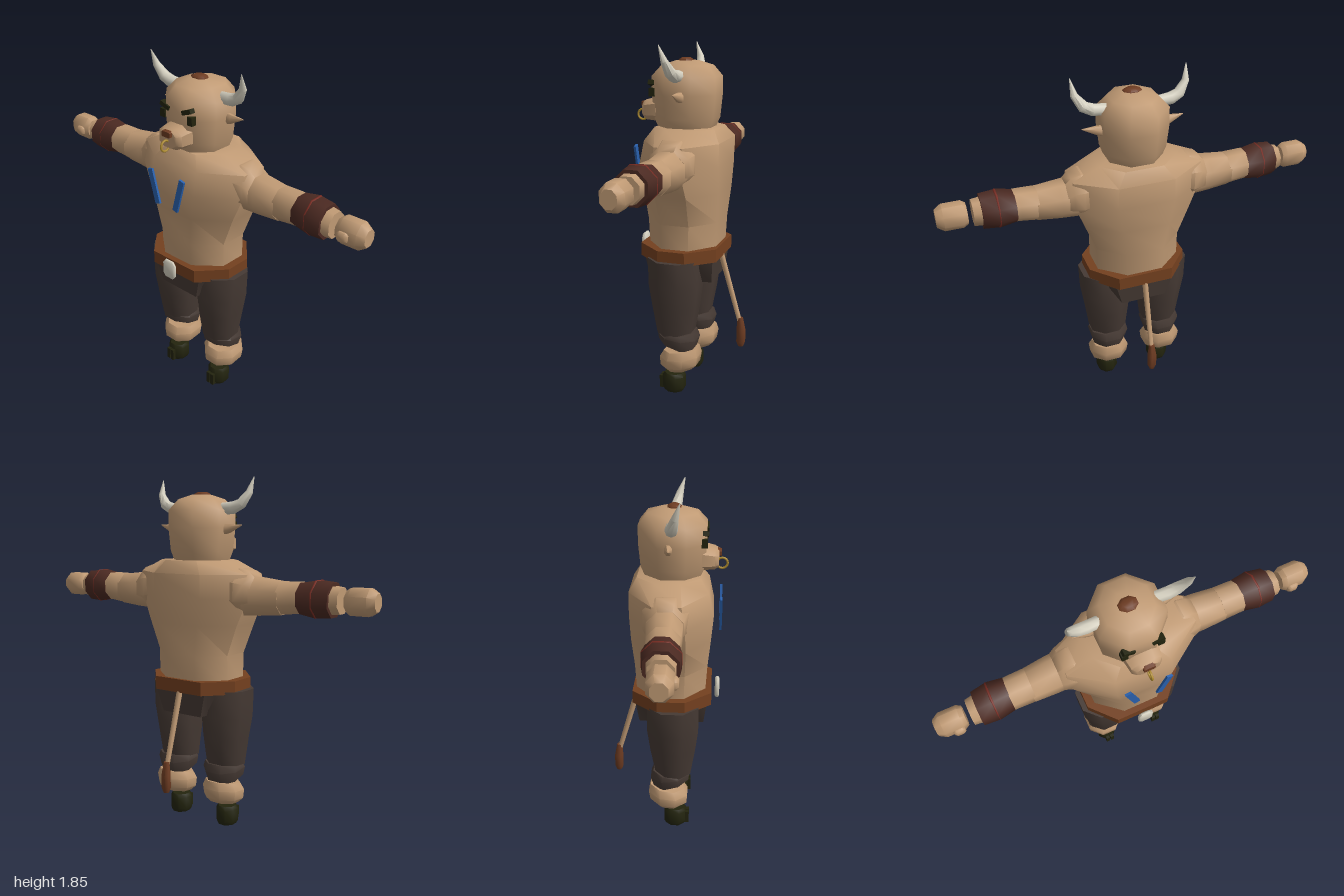
import * as THREE from 'three';
import { toCreasedNormals } from 'three/addons/utils/BufferGeometryUtils.js';

const mat = (name, color) => new THREE.MeshStandardMaterial({ name, color });

// Octagon outline with half sizes a, b; ka, kb give the flat part of each side
const octagon = (a, b, ka = 0.414, kb = ka) => [
  [a, -b * kb], [a, b * kb], [a * ka, b], [-a * ka, b],
  [-a, b * kb], [-a, -b * kb], [-a * ka, -b], [a * ka, -b],
];
const ringY = (y, cx, cz, hx, hz, ka, kb, tilt = 0) =>
  octagon(hx, hz, ka, kb).map(([a, b]) => new THREE.Vector3(cx + a, y + b * tilt, cz + b));
const ringX = (x, cy, cz, hy, hz, k) =>
  octagon(hy, hz, k).map(([a, b]) => new THREE.Vector3(x, cy + a, cz + b));
const ringZ = (z, cx, cy, hx, hy, k) =>
  octagon(hx, hy, k).map(([a, b]) => new THREE.Vector3(cx + a, cy + b, z));

// Closed skin through a list of rings, wound outwards
function loft(rings, crease = 50) {
  const tris = [], n = rings[0].length;
  for (let r = 0; r < rings.length - 1; r++) {
    for (let i = 0; i < n; i++) {
      const j = (i + 1) % n, A = rings[r], B = rings[r + 1];
      tris.push([A[i], B[i], B[j]], [A[i], B[j], A[j]]);
    }
  }
  const first = rings[0], last = rings[rings.length - 1];
  for (let i = 1; i < n - 1; i++) {
    tris.push([first[0], first[i], first[i + 1]], [last[0], last[i + 1], last[i]]);
  }
  const c = first[0].clone().add(last[n / 2]).multiplyScalar(0.5);
  let volume = 0;
  for (const t of tris) {
    const [p, q, s] = t.map((v) => v.clone().sub(c));
    volume += p.dot(q.cross(s));
  }
  if (volume < 0) tris.forEach((t) => t.reverse());
  const geo = new THREE.BufferGeometry().setFromPoints(tris.flat());
  return toCreasedNormals(geo, THREE.MathUtils.degToRad(crease));
}

// Tapered round skin along a path of [x, y, z, radius]
function taper(path, sides = 8) {
  const pts = path.map((p) => new THREE.Vector3(p[0], p[1], p[2]));
  return loft(pts.map((p, i) => {
    const dir = pts[Math.min(i + 1, pts.length - 1)].clone().sub(pts[Math.max(i - 1, 0)]).normalize();
    const u = new THREE.Vector3(0, 0, 1).cross(dir).normalize(), v = dir.clone().cross(u);
    return Array.from({ length: sides }, (_, k) => {
      const t = (k / sides) * Math.PI * 2;
      return p.clone().addScaledVector(u, Math.cos(t) * path[i][3]).addScaledVector(v, Math.sin(t) * path[i][3]);
    });
  }));
}

export function createModel() {
  const root = new THREE.Group();
  root.name = 'bullMan';
  const skin = mat('skin', 0xc09a74), pants = mat('pants', 0x463a34), leather = mat('leather', 0x74401f);
  const cuff = mat('cuffLeather', 0x4c2a22), band = mat('bandRed', 0x7a2c22), bone = mat('bone', 0xd2cdbd);
  const blue = mat('blue', 0x2a62b0), gold = mat('gold', 0xb08d30), dark = mat('hoofDark', 0x23240e);
  const brown = mat('brownHair', 0x6e3c22);

  const add = (name, geo, material, pos = [0, 0, 0], rot = [0, 0, 0]) => {
    const m = new THREE.Mesh(geo, material);
    m.name = name;
    m.position.set(...pos);
    m.rotation.set(...rot);
    root.add(m);
    return m;
  };

  // Torso, belt and pelvis
  add('torso', loft([
    ringY(0.78, 0, 0.02, 0.225, 0.18, 0.43, 0.4),
    ringY(0.95, 0, 0.02, 0.225, 0.19, 0.43, 0.4),
    ringY(1.11, 0, 0.02, 0.285, 0.205, 0.43, 0.4),
    ringY(1.25, 0, 0.023, 0.345, 0.213, 0.43, 0.36),
    ringY(1.37, 0, 0.01, 0.34, 0.2, 0.43, 0.36),
    ringY(1.435, 0, 0.008, 0.2, 0.16, 0.5, 0.4),
  ]), skin);
  add('belt', loft([
    ringY(0.752, 0, 0.027, 0.268, 0.208, 0.55, 0.35),
    ringY(0.822, 0, 0.027, 0.268, 0.208, 0.55, 0.35),
  ], 30), leather);
  add('buckle', loft([
    ringZ(0.253, 0, 0.785, 0.034, 0.044, 0.6),
    ringZ(0.26, 0, 0.785, 0.042, 0.052, 0.6),
    ringZ(0.27, 0, 0.785, 0.042, 0.052, 0.6),
    ringZ(0.277, 0, 0.785, 0.034, 0.044, 0.6),
  ]), bone);
  add('pelvis', loft([
    ringY(0.63, 0, 0.023, 0.13, 0.172, 0.95, 0.6),
    ringY(0.76, 0, 0.023, 0.21, 0.188, 0.76, 0.5),
  ]), pants);

  // Head, muzzle, nose ring and hair tuft
  add('head', loft([
    ringY(1.42, 0, 0.025, 0.135, 0.135),
    ringY(1.48, 0, 0.025, 0.155, 0.16),
    ringY(1.6, 0, 0.024, 0.167, 0.17),
    ringY(1.69, 0, 0.024, 0.165, 0.17),
    ringY(1.745, 0, 0.022, 0.115, 0.125),
    ringY(1.768, 0, 0.022, 0.05, 0.055),
  ], 60), skin);
  add('muzzle', loft([
    ringZ(0.17, 0, 1.52, 0.085, 0.062, 0.5),
    ringZ(0.235, 0, 1.515, 0.076, 0.052, 0.5),
    ringZ(0.255, 0, 1.515, 0.055, 0.042, 0.5),
  ]), skin);
  add('nose', loft([
    ringZ(0.235, 0, 1.545, 0.033, 0.018, 0.7),
    ringZ(0.268, 0, 1.542, 0.028, 0.014, 0.7),
  ]), brown);
  add('noseRing', new THREE.TorusGeometry(0.027, 0.006, 6, 16), gold, [0, 1.485, 0.272], [0, Math.PI / 2, 0]);
  add('hairTuft', loft([
    ringY(1.75, 0, 0.03, 0.048, 0.038),
    ringY(1.772, 0, 0.03, 0.044, 0.034),
    ringY(1.782, 0, 0.03, 0.026, 0.02),
  ]), brown);

  // Tail
  add('tail', taper([[0, 0.76, -0.165, 0.016], [0, 0.36, -0.28, 0.013]]), skin);
  add('tailTuft', loft([
    ringY(0.235, 0, -0.283, 0.014, 0.014),
    ringY(0.26, 0, -0.283, 0.023, 0.023),
    ringY(0.33, 0, -0.283, 0.023, 0.023),
    ringY(0.4, 0, -0.278, 0.014, 0.014),
  ]), brown);

  for (const s of [1, -1]) {
    const side = s > 0 ? 'left' : 'right';
    const put = (part, ...rest) => add(side + part, ...rest);

    // Horns, ears, eyes and brows
    put('Horn', taper([
      [s * 0.13, 1.695, 0.02, 0.03], [s * 0.2, 1.7, 0.025, 0.032], [s * 0.245, 1.72, 0.03, 0.029],
      [s * 0.283, 1.775, 0.045, 0.019], [s * 0.294, 1.852, 0.07, 0.002],
    ]), bone);
    put('Ear', loft([
      ringX(s * 0.15, 1.592, 0.005, 0.028, 0.02),
      ringX(s * 0.19, 1.597, 0.01, 0.022, 0.018),
      ringX(s * 0.262, 1.613, 0.012, 0.002, 0.002),
    ]), skin);
    put('Eye', new THREE.BoxGeometry(0.032, 0.042, 0.03), dark, [s * 0.09, 1.61, 0.183]);
    put('Brow', new THREE.BoxGeometry(0.06, 0.022, 0.03), dark, [s * 0.072, 1.652, 0.188], [0, 0, s * 0.35]);

    // Chest stripes floating ahead of the torso
    put('ChestStripe', new THREE.BoxGeometry(0.032, 0.185, 0.012), blue, [s * 0.085, 1.245, 0.272], [0, 0, -s * 0.27]);

    // Arms
    put('Shoulder', loft([
      ringX(s * 0.18, 1.3, 0.005, 0.085, 0.09),
      ringX(s * 0.29, 1.285, 0.005, 0.115, 0.115),
      ringX(s * 0.34, 1.28, 0.005, 0.105, 0.1),
      ringX(s * 0.37, 1.27, 0.005, 0.088, 0.088),
    ]), skin);
    put('UpperArm', loft([
      ringX(s * 0.3, 1.265, 0.002, 0.1, 0.09),
      ringX(s * 0.4, 1.262, 0.004, 0.092, 0.088),
      ringX(s * 0.52, 1.26, 0.008, 0.08, 0.08),
    ]), skin);
    put('Forearm', loft([
      ringX(s * 0.51, 1.262, 0.008, 0.08, 0.08),
      ringX(s * 0.6, 1.268, 0.01, 0.076, 0.078),
      ringX(s * 0.72, 1.268, 0.015, 0.072, 0.075),
      ringX(s * 0.825, 1.265, 0.018, 0.062, 0.06),
    ]), skin);
    put('Cuff', loft([
      ringX(s * 0.62, 1.268, 0.01, 0.075, 0.078),
      ringX(s * 0.7, 1.268, 0.012, 0.088, 0.09),
      ringX(s * 0.785, 1.266, 0.016, 0.082, 0.08),
    ]), cuff);
    put('CuffBand', new THREE.TorusGeometry(0.09, 0.008, 6, 8).rotateZ(Math.PI / 8), band,
      [s * 0.705, 1.268, 0.012], [0, Math.PI / 2, 0]);
    put('Hand', loft([
      ringX(s * 0.85, 1.266, 0.022, 0.05, 0.046),
      ringX(s * 0.873, 1.266, 0.022, 0.064, 0.058),
      ringX(s * 0.965, 1.266, 0.022, 0.064, 0.058),
      ringX(s, 1.266, 0.022, 0.042, 0.038),
    ]), skin);
    put('Thumb', loft([
      ringZ(0.06, s * 0.9, 1.26, 0.03, 0.027, 0.6),
      ringZ(0.088, s * 0.9, 1.26, 0.028, 0.025, 0.6),
      ringZ(0.098, s * 0.9, 1.26, 0.018, 0.016, 0.6),
    ]), skin);

    // Legs
    put('Thigh', loft([
      ringY(0.345, s * 0.155, 0.037, 0.098, 0.094),
      ringY(0.5, s * 0.157, 0.035, 0.115, 0.12),
      ringY(0.62, s * 0.162, 0.035, 0.128, 0.135),
      ringY(0.765, s * 0.165, 0.035, 0.13, 0.135),
    ]), pants);
    put('Shin', loft([
      ringY(0.28, s * 0.157, 0.028, 0.094, 0.094, 0.414, 0.414, 0.29),
      ringY(0.33, s * 0.157, 0.02, 0.106, 0.105, 0.414, 0.414, 0.12),
      ringY(0.352, s * 0.157, 0.02, 0.1, 0.09, 0.414, 0.414, -0.08),
    ]), pants);
    put('FurCuff', loft([
      ringY(0.138, s * 0.16, 0.012, 0.075, 0.07, 0.414, 0.414, -0.1),
      ringY(0.165, s * 0.16, 0.012, 0.1, 0.1, 0.414, 0.414, -0.1),
      ringY(0.215, s * 0.16, 0.01, 0.106, 0.106, 0.414, 0.414, -0.1),
      ringY(0.255, s * 0.16, 0.005, 0.088, 0.09, 0.414, 0.414, -0.15),
    ]), skin);
    put('Hoof', loft([
      ringY(0, s * 0.16, 0.048, 0.046, 0.05),
      ringY(0.02, s * 0.16, 0.048, 0.056, 0.06),
      ringY(0.085, s * 0.16, 0.048, 0.056, 0.06),
      ringY(0.105, s * 0.16, 0.048, 0.046, 0.05),
    ]), dark);
    for (const t of [-1, 1]) {
      put('HoofToe', new THREE.BoxGeometry(0.022, 0.07, 0.05), dark, [s * 0.16 + t * 0.014, 0.045, 0.1]);
    }
  }
  return root;
}
